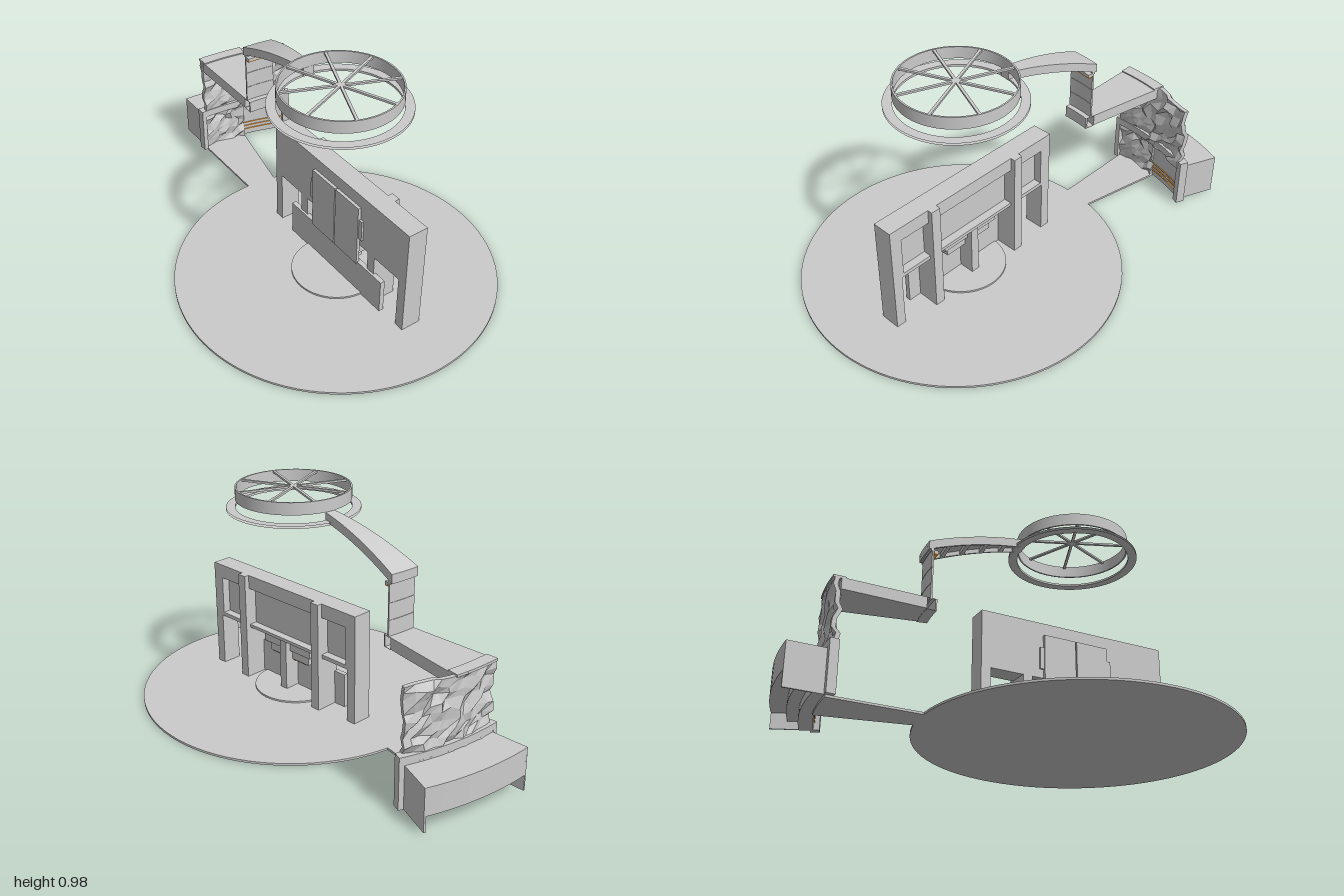
import * as THREE from 'three';
import { toCreasedNormals } from 'three/addons/utils/BufferGeometryUtils.js';

const CZ = 0.29;                 // centre of the round layout on the z axis
const BAY = Math.PI / 16;        // angle of one bay
const grey = new THREE.MeshStandardMaterial({ color: 0xcccccc });
const thin = new THREE.MeshStandardMaterial({ color: 0xcccccc, side: THREE.DoubleSide });
const stone = new THREE.MeshStandardMaterial({ color: 0xcccccc, flatShading: true, side: THREE.DoubleSide });
const glow = new THREE.MeshStandardMaterial({ color: 0xffb050 });

// Moves (radius, y, t) to its place around the centre, angle measured from the back towards +x
function bend(geo, a0, a1) {
  const p = geo.attributes.position;
  for (let i = 0; i < p.count; i++) {
    const r = p.getX(i), a = a0 + (a1 - a0) * p.getZ(i);
    p.setXYZ(i, r * Math.sin(a), p.getY(i), CZ - r * Math.cos(a));
  }
  geo.computeVertexNormals();
  return geo;
}

// Sweeps a (radius, y) profile through an angle
function arcSolid(points, a0, a1, steps = 8) {
  const shape = new THREE.Shape(points.map(([r, y]) => new THREE.Vector2(r, y)));
  const geo = new THREE.ExtrudeGeometry(shape, { depth: 1, steps, bevelEnabled: false });
  return toCreasedNormals(bend(geo, a0, a1), 0.5);
}

const rect = (r0, r1, y0, y1) => [[r0, y0], [r1, y0], [r1, y1], [r0, y1]];

// Rough stone wall: a subdivided box with hashed radial bumps, bent into place
function rockWall(r, y0, y1, a0, a1, cols, rows) {
  const hash = (a, b, c) => {
    const s = Math.sin(a * 127.1 + b * 311.7 + c * 74.7) * 43758.5453;
    return s - Math.floor(s);
  };
  const geo = new THREE.BoxGeometry(0.02, y1 - y0, 1, 1, rows, cols);
  geo.translate(r, (y0 + y1) / 2, 0.5);
  const p = geo.attributes.position;
  for (let i = 0; i < p.count; i++) {
    const row = Math.round((p.getY(i) - y0) / (y1 - y0) * rows);
    const col = Math.round(p.getZ(i) * cols);
    const inner = row > 0 && row < rows, mid = col > 0 && col < cols;
    p.setX(i, p.getX(i) + (hash(row, col, 1) - 0.5) * 0.032);
    if (inner) p.setY(i, p.getY(i) + (hash(row, col, 2) - 0.5) * 0.6 * (y1 - y0) / rows);
    if (mid) p.setZ(i, p.getZ(i) + (hash(row, col, 3) - 0.5) * 0.7 / cols);
  }
  return bend(geo, a0, a1);
}

export function createModel() {
  const model = new THREE.Group();
  const group = (name) => {
    const g = new THREE.Group();
    g.name = name;
    model.add(g);
    return g;
  };
  const add = (parent, name, geo, mat = grey) => {
    const m = new THREE.Mesh(geo, mat);
    m.name = name;
    parent.add(m);
    return m;
  };
  const box = (parent, name, x0, x1, y0, y1, z0, z1, mat = grey) => {
    const m = add(parent, name, new THREE.BoxGeometry(x1 - x0, y1 - y0, z1 - z0), mat);
    m.position.set((x0 + x1) / 2, (y0 + y1) / 2, (z0 + z1) / 2);
    return m;
  };

  // Round floor, raised pad and walkway
  const floor = group('floor');
  add(floor, 'floorDisc', new THREE.CylinderGeometry(0.71, 0.71, 0.01, 96)).position.set(0, 0.005, CZ);
  add(floor, 'floorPad', new THREE.CylinderGeometry(0.195, 0.195, 0.009, 64)).position.set(0, 0.0135, CZ);
  add(floor, 'walkway', arcSolid(rect(0.69, 1.12, 0, 0.01), 0, BAY));

  // Hanging wheel: drum, spokes, and a flat flange below it
  const wheel = group('ceilingWheel');
  add(wheel, 'drum', arcSolid(rect(0.248, 0.255, 0.92, 0.975), 0, Math.PI * 2, 80));
  for (let i = 0; i < 4; i++) {
    const spoke = add(wheel, 'spoke', new THREE.BoxGeometry(0.504, 0.009, 0.012));
    spoke.position.set(0, 0.969, CZ);
    spoke.rotation.y = Math.PI / 8 + i * Math.PI / 4;
  }
  for (const y of [0.875, 0.885]) {
    const ring = add(wheel, 'flange', new THREE.RingGeometry(0.255, 0.295, 80), thin);
    ring.rotation.x = -Math.PI / 2;
    ring.position.set(0, y, CZ);
  }
  add(wheel, 'flangeRim', new THREE.CylinderGeometry(0.255, 0.255, 0.01, 80, 1, true), thin)
    .position.set(0, 0.88, CZ);

  // Curved ceiling arm: thin roof with side rails and cross ribs beneath
  const arm = group('ceilingArm');
  const top = (r) => {
    const t = (r - 0.25) / 0.465;
    return 0.918 - 0.055 * t - 0.073 * t * t;
  };
  const strip = (r0, r1, up, down, n) => {
    const rs = Array.from({ length: n + 1 }, (_, i) => r0 + (r1 - r0) * i / n);
    return [...rs.map((r) => [r, top(r) - down]), ...rs.reverse().map((r) => [r, top(r) - up])];
  };
  add(arm, 'armRoof', arcSolid(strip(0.25, 0.715, 0, 0.02, 12), 0, BAY));
  const rail = BAY * 0.08;
  add(arm, 'armRail', arcSolid(strip(0.25, 0.715, 0.019, 0.04, 12), 0, rail, 1));
  add(arm, 'armRail', arcSolid(strip(0.25, 0.715, 0.019, 0.04, 12), BAY - rail, BAY, 1));
  for (let i = 0; i < 6; i++) {
    const r = 0.25 + i * 0.089;
    add(arm, 'armRib', arcSolid(strip(r, r + 0.02, 0.019, 0.04, 1), rail, BAY - rail, 4));
  }
  add(arm, 'armEnd', arcSolid([[0.692, 0.745], [0.705, 0.745], [0.715, 0.79], [0.692, 0.79]], 0, BAY));
  add(arm, 'armLip', arcSolid(rect(0.67, 0.692, 0.738, 0.75), 0, BAY));
  add(arm, 'armLight', arcSolid(rect(0.672, 0.69, 0.732, 0.738), 0, BAY), glow);

  // Thin vertical drop between the arm and the lower beam
  const drop = group('dropPanel');
  for (const [y0, y1] of [[0.515, 0.589], [0.592, 0.664], [0.667, 0.75]]) {
    add(drop, 'dropPlate', arcSolid(rect(0.693, 0.701, y0, y1), 0, BAY));
  }
  add(drop, 'dropBacking', arcSolid(rect(0.695, 0.699, 0.515, 0.75), 0, BAY));

  // Lower beam: a hollow front edge followed by the solid slab
  const beam = group('lowerBeam');
  add(beam, 'beamSlab', arcSolid(rect(0.715, 1.09, 0.468, 0.52), 0, BAY));
  add(beam, 'beamFront', arcSolid(rect(0.67, 0.678, 0.465, 0.52), 0, BAY));
  add(beam, 'beamTopPlate', arcSolid(rect(0.678, 0.715, 0.518, 0.52), 0, BAY));
  add(beam, 'beamBottomPlate', arcSolid(rect(0.678, 0.715, 0.465, 0.467), 0, BAY));
  add(beam, 'beamEndCap', arcSolid(rect(1.07, 1.125, 0.515, 0.526), 0, BAY));

  // Rock walls above the counter and in its open half
  const rocks = group('rockWall');
  add(rocks, 'upperRock', rockWall(1.1, 0.2, 0.52, 0, 2 * BAY, 11, 9), stone);
  add(rocks, 'lowerRock', rockWall(1.115, 0.01, 0.21, 0, BAY, 6, 6), stone);

  // Counter: front frame, lit slatted panel, end walls and stepped back
  const counter = group('counter');
  const side = 0.02;
  add(counter, 'frameLintel', arcSolid(rect(1.085, 1.125, 0.205, 0.24), -side, 2 * BAY + side));
  add(counter, 'framePost', arcSolid(rect(1.085, 1.125, 0.01, 0.24), -side, 0, 1));
  add(counter, 'framePost', arcSolid(rect(1.085, 1.125, 0.01, 0.24), 2 * BAY - 0.01, 2 * BAY + side, 1));
  add(counter, 'slatPanel', arcSolid(rect(1.11, 1.125, 0.01, 0.21), BAY, 2 * BAY));
  for (const y of [0.04, 0.06, 0.08]) {
    add(counter, 'slatLight', arcSolid(rect(1.105, 1.112, y, y + 0.004), BAY, 2 * BAY - 0.01), glow);
  }
  add(counter, 'counterBody', arcSolid([[1.12, 0.01], [1.17, 0.01], [1.17, 0.045], [1.22, 0.045],
    [1.22, 0.08], [1.29, 0.08], [1.29, 0.203], [1.12, 0.203]], 0, 2 * BAY, 12));
  for (const a of [0, 2 * BAY - 0.006]) {
    add(counter, 'counterEnd', arcSolid(rect(1.12, 1.29, 0.01, 0.203), a, a + 0.006, 1));
  }

  // Upright wall, mirrored about the layout centre: pillars and framed upper panels
  const wall = group('uprightWall');
  for (const s of [-1, 1]) {
    const mirrored = (name, x0, x1, y0, y1, d0, d1) => box(wall, name, x0, x1, y0, y1,
      CZ + Math.min(s * d0, s * d1), CZ + Math.max(s * d0, s * d1));
    mirrored('outerPillar', 0, 0.092, 0.01, 0.52, 0.415, 0.46);
    mirrored('innerPillar', 0, 0.115, 0.01, 0.52, 0.215, 0.26);
    mirrored('sidePanel', 0, 0.055, 0.26, 0.52, 0.26, 0.415);
    mirrored('sideTopRail', 0.05, 0.092, 0.455, 0.52, 0.26, 0.415);
    mirrored('sideBottomRail', 0.05, 0.092, 0.26, 0.278, 0.26, 0.415);
    mirrored('sideStile', 0.05, 0.092, 0.278, 0.455, 0.405, 0.415);
    mirrored('backPanelHalf', -0.014, 0, 0.16, 0.46, 0.003, 0.16);
    mirrored('backPanelWing', -0.009, 0, 0.3, 0.4, 0.16, 0.18);
  }
  box(wall, 'centrePanel', 0, 0.055, 0.26, 0.52, 0.075, 0.505);
  box(wall, 'centreTopRail', 0.05, 0.092, 0.455, 0.52, 0.075, 0.505);
  box(wall, 'centreBottomRail', 0.05, 0.092, 0.26, 0.275, 0.075, 0.505);

  // Console set into the lower middle of the wall
  const consoleUnit = group('wallConsole');
  box(consoleUnit, 'lowPanel', -0.01, 0.012, 0.01, 0.17, -0.03, 0.61);
  box(consoleUnit, 'hood', 0, 0.06, 0.205, 0.26, 0.14, 0.44);
  box(consoleUnit, 'hoodStep', 0, 0.045, 0.16, 0.205, 0.165, 0.415);
  box(consoleUnit, 'hoodLight', 0.005, 0.04, 0.154, 0.16, 0.175, 0.405, glow);
  box(consoleUnit, 'centrePost', 0, 0.085, 0.02, 0.26, 0.27, 0.31);
  return model;
}
